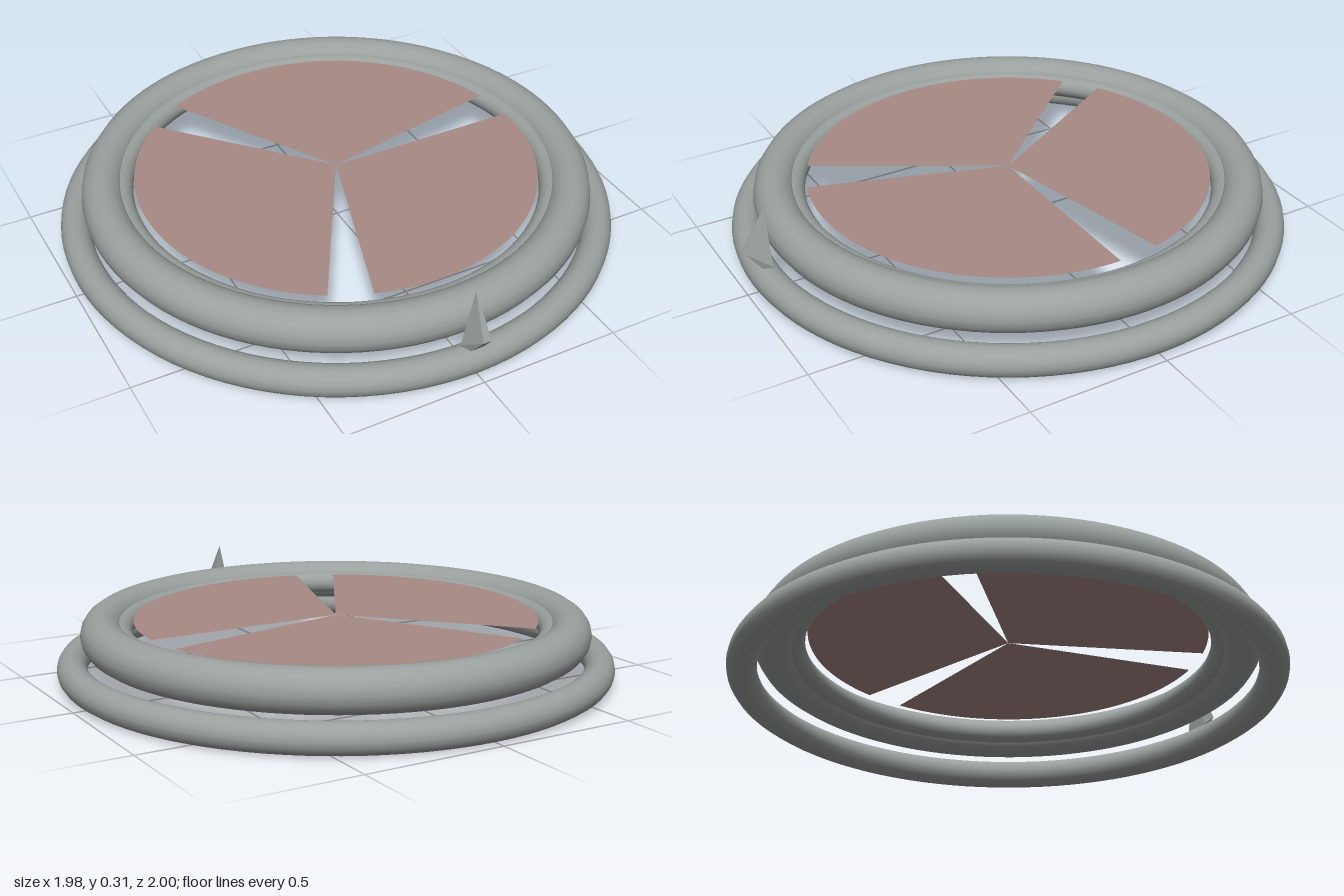
import * as THREE from 'three';
import { ConvexGeometry } from 'three/addons/geometries/ConvexGeometry.js';

export function createModel() {
  const model = new THREE.Group();
  model.name = 'ringedFan';
  const metal = new THREE.MeshStandardMaterial({ color: 0x9aa19e });
  metal.name = 'greyMetal';
  const rose = new THREE.MeshStandardMaterial({ color: 0xa88a85, side: THREE.DoubleSide });
  rose.name = 'dustyRose';

  const add = (name, geometry, material) => {
    const mesh = new THREE.Mesh(geometry, material);
    mesh.name = name;
    model.add(mesh);
    return mesh;
  };
  const centreZ = -0.008;

  // Three nested rings: name, major radius, tube radius, height
  const rings = [
    ['baseRing', 0.937, 0.053, 0.053],
    ['upperRing', 0.83, 0.075, 0.17],
    ['innerRing', 0.765, 0.041, 0.17],
  ];
  for (const [name, radius, tube, y] of rings) {
    const geometry = new THREE.TorusGeometry(radius, tube, 16, 96).rotateX(Math.PI / 2);
    add(name, geometry, metal).position.set(0, y, centreZ);
  }

  // Three flat blades with narrow gaps between them
  const sweep = THREE.MathUtils.degToRad(108);
  for (let i = 0; i < 3; i++) {
    const start = THREE.MathUtils.degToRad(12 + 120 * i);
    const geometry = new THREE.CircleGeometry(0.718, 40, start, sweep).rotateX(-Math.PI / 2);
    add(`blade${i + 1}`, geometry, rose).position.set(0, 0.211, centreZ);
  }

  // Upright pointer on the front of the base ring
  const corners = [new THREE.Vector3(0, 0.315, 0.917)];
  for (const s of [-1, 1]) {
    corners.push(
      new THREE.Vector3(s * 0.044, 0.11, 0.917),
      new THREE.Vector3(s * 0.033, 0.06, 0.917),
      new THREE.Vector3(s * 0.015, 0.17, 1.0),
    );
  }
  add('frontPointer', new ConvexGeometry(corners), metal);

  return model;
}
